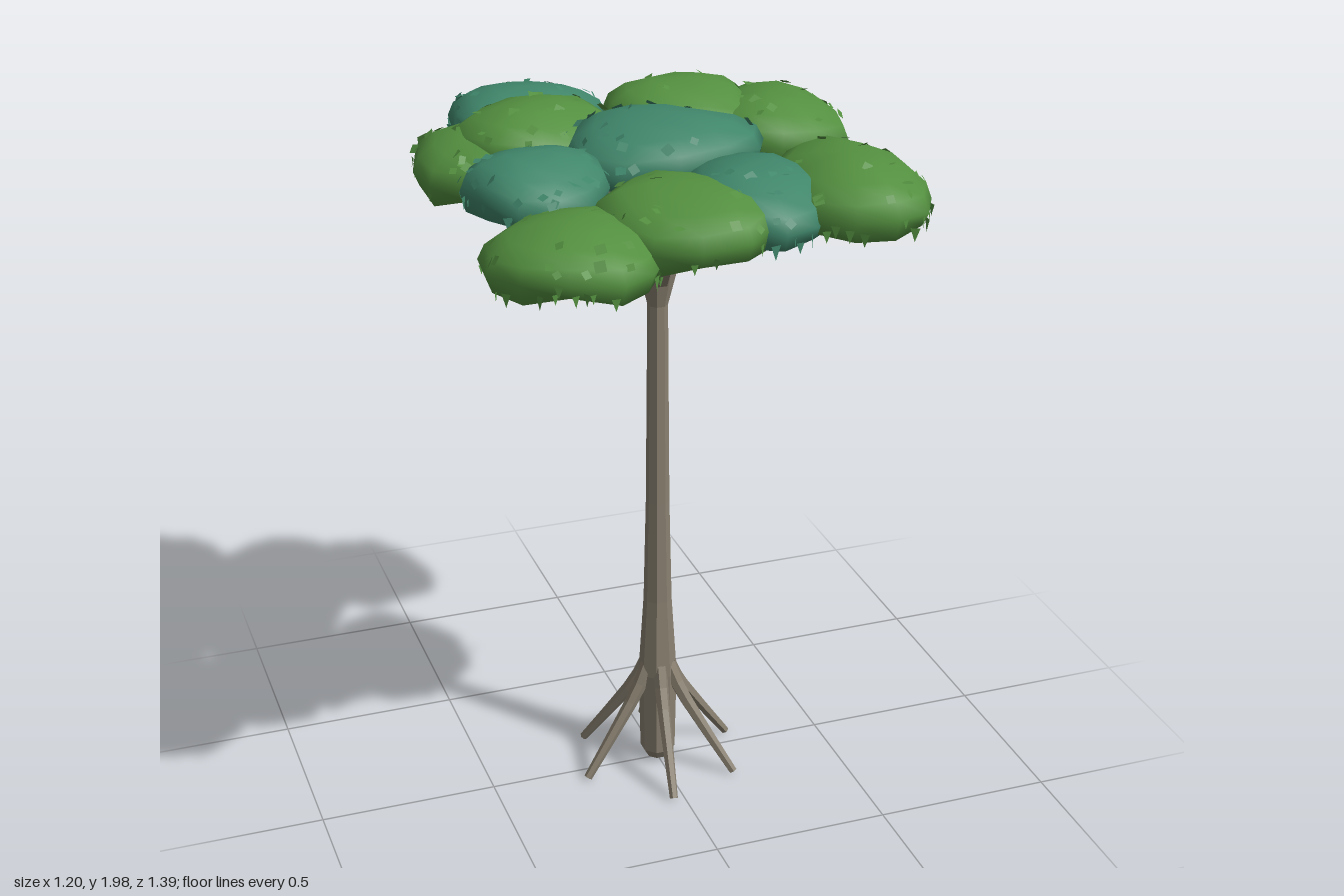
import * as THREE from 'three';
import { mergeVertices, mergeGeometries } from 'three/addons/utils/BufferGeometryUtils.js';

const V = (x, y, z) => new THREE.Vector3(x, y, z);

// small seeded random generator
function seeded(seed) {
  let s = seed;
  return () => {
    s = (s * 16807) % 2147483647;
    return s / 2147483647;
  };
}

// faceted version of a geometry
function faceted(geo) {
  const g = geo.toNonIndexed();
  g.computeVertexNormals();
  return g;
}

// tapered tube along a smooth path
function limb(points, r0, r1, sides = 6, n = 6) {
  const curve = new THREE.CatmullRomCurve3(points);
  const geo = new THREE.TubeGeometry(curve, n, 1, sides);
  const p = geo.attributes.position, v = V(0, 0, 0);
  for (let i = 0; i <= n; i++) {
    const c = curve.getPointAt(i / n);
    const r = r0 + (r1 - r0) * i / n;
    for (let j = 0; j <= sides; j++) {
      const k = i * (sides + 1) + j;
      v.fromBufferAttribute(p, k).sub(c).multiplyScalar(r).add(c);
      p.setXYZ(k, v.x, v.y, v.z);
    }
  }
  return faceted(geo);
}

// leaf clump surface: domed top, wavy dented underside, uneven outline
function clumpPoint(d, b) {
  const a = Math.atan2(d.z, d.x), s = b.seed;
  const k = 1 + 0.04 * Math.sin(3 * a + s) + 0.04 * Math.sin(5 * a + 2 * s);
  const flat = Math.hypot(d.x, d.z);
  const y = d.y >= 0
    ? d.y * b.up
    : -b.down * Math.sin(-d.y * 2.5) * (1 + 0.3 * flat * Math.sin(4 * a + s));
  const rim = 0.012 * flat * Math.sin(2 * a + s * 1.7);
  return V(b.x + d.x * b.rx * k, b.y + y + rim, b.z + d.z * b.rz * k);
}

function clumpGeometry(b) {
  let geo = new THREE.SphereGeometry(1, 11, 8);
  geo.rotateY(b.seed);
  geo.deleteAttribute('uv');
  geo.deleteAttribute('normal');
  geo = mergeVertices(geo, 1e-4);
  const p = geo.attributes.position, v = V(0, 0, 0);
  for (let i = 0; i < p.count; i++) {
    const q = clumpPoint(v.fromBufferAttribute(p, i), b);
    p.setXYZ(i, q.x, q.y, q.z);
  }
  geo.computeVertexNormals();
  return geo;
}

// little leaf chips: half hang as a pointed fringe, half lie in the dome
function leafGeometry(b) {
  const rand = seeded(Math.round(b.seed * 1000) + 77);
  const parts = [];
  for (let i = 0; i < 48; i++) {
    const hanging = i % 2 === 0;
    const a = rand() * Math.PI * 2;
    const h = hanging ? -0.35 + rand() * 0.35 : 0.2 + rand() * 0.75;
    const r = Math.sqrt(1 - h * h);
    const d = V(r * Math.cos(a), h, r * Math.sin(a));
    const size = 0.012 + rand() * 0.008;
    const out = V(d.x / b.rx, d.y / b.up, d.z / b.rz).normalize();
    const at = clumpPoint(d, b);
    const leaf = new THREE.CircleGeometry(size, hanging ? 3 : 4);
    leaf.deleteAttribute('uv');
    if (hanging) {
      // point down, facing around the rim
      leaf.rotateZ(-Math.PI / 2);
      leaf.scale(0.8, 1.3, 1);
      leaf.rotateY(Math.PI / 2 - a + (rand() - 0.5) * 2);
      at.y -= 0.006;
    } else {
      leaf.rotateZ(rand() * 6);
      const tilt = V(rand() - 0.5, rand() - 0.5, rand() - 0.5);
      const normal = out.clone().addScaledVector(tilt, 0.9).normalize();
      leaf.applyQuaternion(new THREE.Quaternion().setFromUnitVectors(V(0, 0, 1), normal));
    }
    leaf.translate(at.x, at.y, at.z);
    parts.push(leaf);
  }
  return mergeGeometries(parts);
}

export function createModel() {
  const tree = new THREE.Group();
  tree.name = 'tree';
  const material = (name, color) => {
    const m = new THREE.MeshStandardMaterial({ color, side: THREE.DoubleSide });
    m.name = name;
    return m;
  };
  const bark = material('bark', 0x898070);
  const green = material('leafGreen', 0x549040);
  const teal = material('leafTeal', 0x40866b);
  const add = (name, geo, mat, parent = tree) => {
    const mesh = new THREE.Mesh(geo, mat);
    mesh.name = name;
    parent.add(mesh);
    return mesh;
  };
  const group = (name) => {
    const g = new THREE.Group();
    g.name = name;
    tree.add(g);
    return g;
  };

  // trunk with swollen foot and flared crotch
  const profile = [[0, 0.012], [0.034, 0.018], [0.05, 0.045], [0.055, 0.3], [0.04, 0.54],
    [0.033, 0.85], [0.028, 1.44], [0.054, 1.545], [0.03, 1.57], [0, 1.58]]
    .map(([r, y]) => new THREE.Vector2(r, y));
  add('trunk', faceted(new THREE.LatheGeometry(profile, 8, Math.PI / 8)), bark);

  // stilt roots
  const roots = group('roots');
  for (const deg of [-13, 42, 98, 167, 222, 278]) {
    const c = Math.cos(deg * Math.PI / 180), s = Math.sin(deg * Math.PI / 180);
    const path = [[0.032, 0.33], [0.068, 0.255], [0.15, 0.135], [0.238, 0.013]]
      .map(([r, y]) => V(r * c, y, r * s));
    add('root', limb(path, 0.022, 0.012), bark, roots);
  }

  // branches fanning out under the crown, flattening towards the tips
  const branches = group('branches');
  const tips = [[-0.04, 1.8, 0.37], [-0.23, 1.81, -0.42], [0.17, 1.84, -0.24], [0.37, 1.795, -0.18]];
  for (const [x, y, z] of tips) {
    const path = [V(x * 0.03, 1.51, z * 0.03), V(x * 0.3, 1.615, z * 0.3),
      V(x * 0.62, 1.71, z * 0.62), V(x, y, z)];
    add('branch', limb(path, 0.03, 0.011), bark, branches);
  }
  // upright leader with side arms near its top
  add('leader', limb([V(0, 1.52, 0), V(0, 1.68, 0), V(0, 1.85, 0)], 0.027, 0.022), bark, branches);
  for (const [x, z] of [[0.15, 0.2], [-0.18, -0.16], [-0.28, 0.1]]) {
    add('arm', limb([V(0, 1.77, 0), V(x * 0.5, 1.795, z * 0.5), V(x, 1.83, z)], 0.017, 0.009, 5),
      bark, branches);
  }

  // crown: centre x, rim y, z, radii x and z, rise, drop, colour
  const crown = group('crown');
  const clumps = [
    [-0.225, 1.83, -0.475, 0.215, 0.21, 0.1, 0.055, teal],
    [-0.265, 1.855, -0.235, 0.235, 0.21, 0.105, 0.055, green],
    [-0.4, 1.805, -0.22, 0.2, 0.2, 0.1, 0.055, green],
    [0.17, 1.86, -0.3, 0.21, 0.22, 0.105, 0.055, green],
    [0.395, 1.83, -0.2, 0.205, 0.225, 0.105, 0.085, green],
    [0.01, 1.875, 0.01, 0.27, 0.215, 0.105, 0.055, teal],
    [-0.375, 1.855, 0.14, 0.19, 0.195, 0.1, 0.055, teal],
    [-0.375, 1.785, 0.46, 0.23, 0.22, 0.1, 0.055, green],
    [-0.065, 1.825, 0.395, 0.22, 0.245, 0.1, 0.06, green],
    [0.13, 1.835, 0.345, 0.185, 0.25, 0.1, 0.055, teal],
    [0.38, 1.835, 0.37, 0.2, 0.27, 0.11, 0.06, green],
  ];
  clumps.forEach(([x, y, z, rx, rz, up, down, mat], i) => {
    const b = { x, y, z, rx, rz, up, down, seed: 0.7 + i * 1.3 };
    add('leafClump', clumpGeometry(b), mat, crown);
    add('looseLeaves', leafGeometry(b), mat, crown);
  });

  return tree;
}
